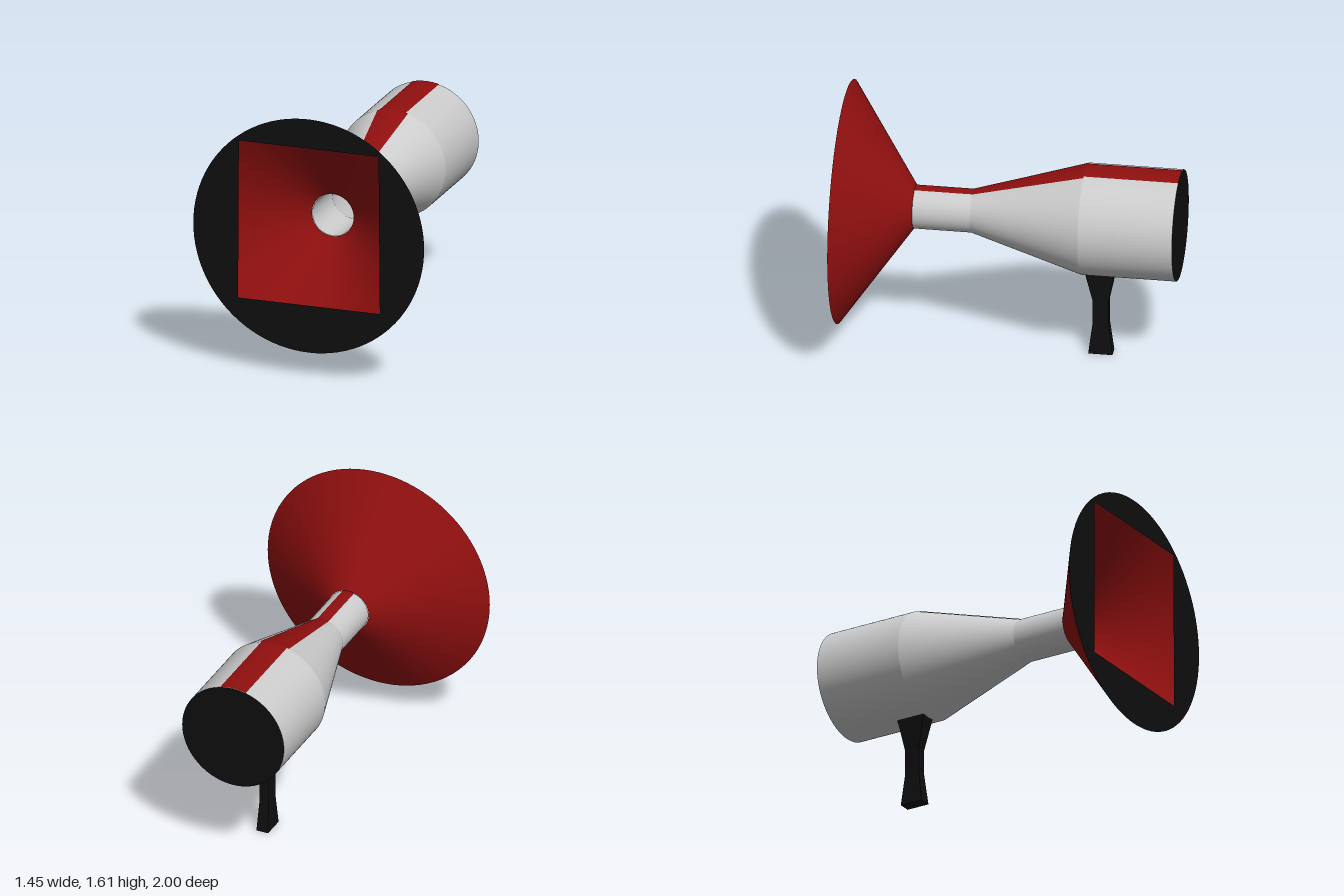
import * as THREE from 'three';

const AXIS_Y = 0.88;

export function createModel() {
  const group = new THREE.Group();
  const material = (color) => new THREE.MeshStandardMaterial({ color, side: THREE.DoubleSide });
  const white = material(0xcccccc), red = material(0x900f0f), black = material(0x0f0f0f);

  const add = (name, geometry, mat, y = AXIS_Y, z = 0) => {
    const mesh = new THREE.Mesh(geometry, mat);
    mesh.name = name;
    mesh.position.set(0, y, z);
    group.add(mesh);
  };

  // Conical section along z; angle is the half-width of a strip centred on top
  const section = (z0, r0, z1, r1, angle = Math.PI, segments = 96) =>
    new THREE.LatheGeometry(
      [new THREE.Vector2(r0, z0), new THREE.Vector2(r1, z1)],
      segments, Math.PI - angle, 2 * angle,
    ).rotateX(Math.PI / 2);

  // Hollow body, each section with its own top stripe
  const sections = [
    ['barrel', -1, 0.333, -0.435, 0.333, 0.25],
    ['taper', -0.435, 0.333, 0.24, 0.13, 0.29],
    ['neck', 0.24, 0.13, 0.585, 0.13, 0.28],
  ];
  for (const [name, z0, r0, z1, r1, angle] of sections) {
    add(name, section(z0, r0, z1, r1), white);
    add(name + 'Stripe', section(z0, r0 + 0.003, z1, r1 + 0.003, angle, 16), red);
  }

  // Closed back end
  add('backCap', new THREE.CircleGeometry(0.333, 96).rotateY(Math.PI), black, AXIS_Y, -1);

  // Flared bell
  add('bell', section(0.585, 0.132, 1, 0.727), red);

  // Front plate with a square opening
  const plate = new THREE.Shape().absarc(0, 0, 0.727, 0, Math.PI * 2);
  plate.holes.push(new THREE.Path([
    [-0.445, -0.435], [-0.44, 0.545], [0.44, 0.545], [0.448, -0.435],
  ].map(([x, y]) => new THREE.Vector2(x, y))));
  add('frontPlate', new THREE.ShapeGeometry(plate, 48), black, AXIS_Y, 1);

  // Grip: a box narrowed in the middle; rows are [y, half width, back z, front z]
  const rows = [
    [0, 0.038, -0.6, -0.455],
    [0.2, 0.029, -0.575, -0.48],
    [0.35, 0.029, -0.575, -0.48],
    [0.555, 0.05, -0.617, -0.433],
  ];
  const grip = new THREE.BoxGeometry(2, 3, 2, 1, 3, 1);
  const p = grip.attributes.position;
  for (let i = 0; i < p.count; i++) {
    const [y, w, back, front] = rows[Math.round(p.getY(i) + 1.5)];
    p.setXYZ(i, p.getX(i) * w, y, p.getZ(i) > 0 ? front : back);
  }
  const gripFaces = grip.toNonIndexed();
  gripFaces.computeVertexNormals();
  add('grip', gripFaces, black, 0);

  return group;
}
